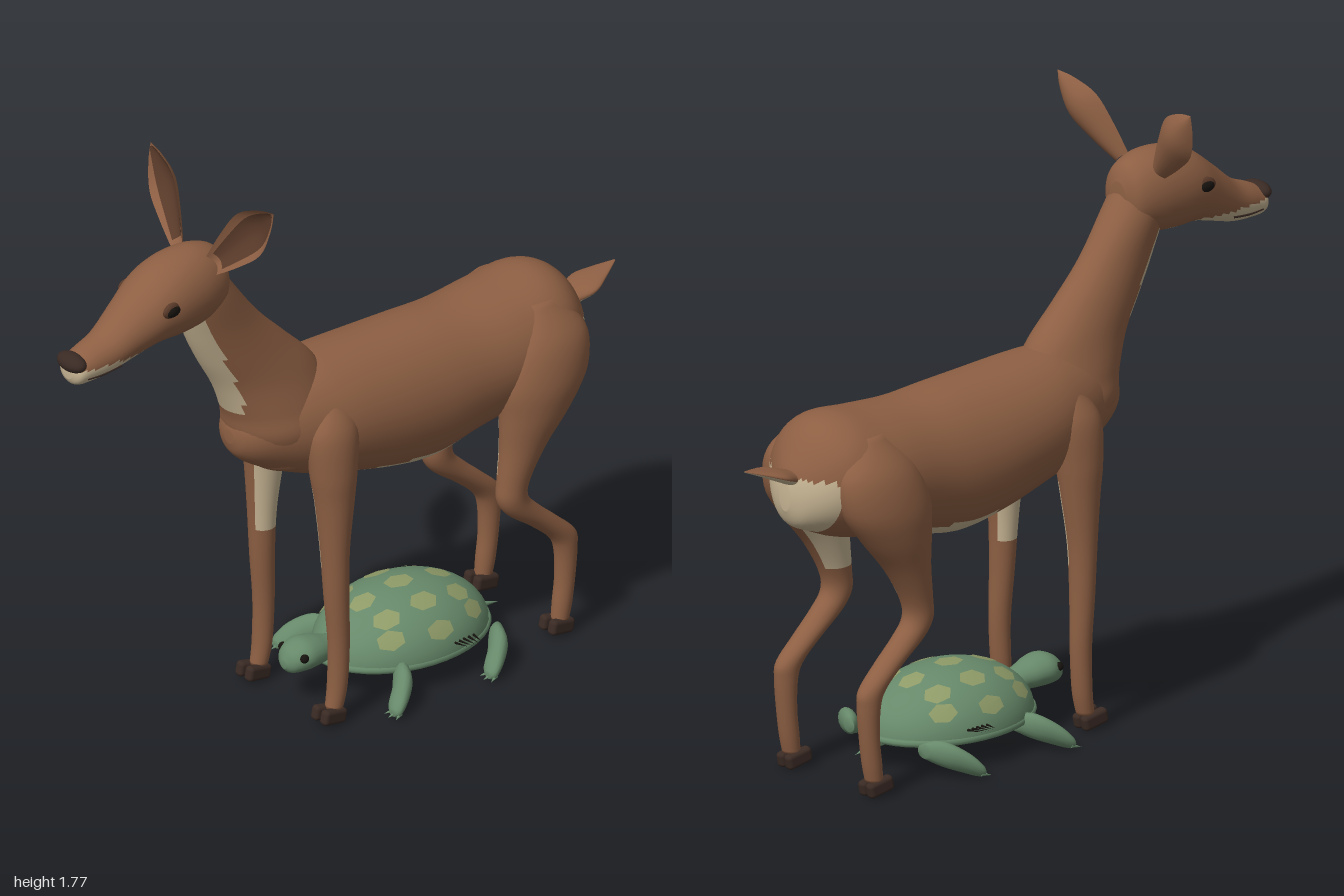
import * as THREE from 'three';
import { RoundedBoxGeometry } from 'three/addons/geometries/RoundedBoxGeometry.js';

const mat = (name, color, side = THREE.FrontSide) => {
  const m = new THREE.MeshStandardMaterial({ color, side });
  m.name = name;
  return m;
};

// Smooth closed skin through elliptical rings [t, centreA, centreB, radiusA, radiusB].
// axis 'z': rings run back to front; axis 'y': rings run top to bottom.
// pick(point, cos, sin) returns the index of the material for a face.
function loft(axis, rings, pick = () => 0, seg = 32, steps = 5) {
  const rows = [], n = rings.length;
  for (let i = 0; i < n - 1; i++) {
    const [a, b, c, d] = [-1, 0, 1, 2].map(k => rings[Math.min(n - 1, Math.max(0, i + k))]);
    for (let s = 0; s < steps; s++) {
      const t = s / steps;
      rows.push(b.map((_, k) => 0.5 * (2 * b[k] + (c[k] - a[k]) * t +
        (2 * a[k] - 5 * b[k] + 4 * c[k] - d[k]) * t * t + (3 * b[k] - a[k] - 3 * c[k] + d[k]) * t ** 3)));
    }
  }
  rows.push(rings[n - 1]);
  const place = (t, u, v) => axis === 'z' ? [u, v, t] : [u, t, v];
  const pts = [], buckets = [[], []];
  for (const [t, cu, cv, ru, rv] of rows) {
    for (let j = 0; j < seg; j++) {
      const th = j / seg * Math.PI * 2;
      pts.push(place(t, cu + ru * Math.cos(th), cv + rv * Math.sin(th)));
    }
  }
  const first = pts.length, last = rows.length - 1;
  for (const r of [rows[0], rows[last]]) pts.push(place(r[0], r[1], r[2]));
  const add = (j, ...f) => {
    const p = [0, 1, 2].map(k => f.reduce((sum, i) => sum + pts[i][k], 0) / f.length);
    const th = (j + 0.5) / seg * Math.PI * 2;
    const out = buckets[pick(p, Math.cos(th), Math.sin(th)) ? 1 : 0];
    out.push(f[0], f[1], f[2]);
    if (f.length === 4) out.push(f[0], f[2], f[3]);
  };
  for (let j = 0; j < seg; j++) {
    const k = (j + 1) % seg;
    add(j, first, k, j);
    add(j, first + 1, last * seg + j, last * seg + k);
    for (let i = 0; i < last; i++) add(j, i * seg + j, i * seg + k, (i + 1) * seg + k, (i + 1) * seg + j);
  }
  const g = new THREE.BufferGeometry();
  g.setAttribute('position', new THREE.Float32BufferAttribute(pts.flat(), 3));
  g.setIndex([...buckets[0], ...buckets[1]]);
  g.addGroup(0, buckets[0].length, 0);
  g.addGroup(buckets[0].length, buckets[1].length, 1);
  g.computeVertexNormals();
  return g;
}

// Leaf-shaped cupped ear surface, narrowed by scale and moved forward by lift
function earGeometry(side, scale, lift) {
  const g = new THREE.PlaneGeometry(2, 1, 10, 16), p = g.attributes.position;
  const width = new THREE.SplineCurve([[0, 0.03], [0.3, 0.055], [0.6, 0.068], [0.85, 0.036], [1, 0]]
    .map(a => new THREE.Vector2(...a)));
  for (let i = 0; i < p.count; i++) {
    const u = p.getX(i) * scale, t = 0.5 + (p.getY(i)) * (scale < 1 ? 0.84 : 1);
    const w = width.getPoint(t), cup = 0.6 * w.y * (1 - u * u);
    p.setXYZ(i, side * (0.075 + 0.195 * w.x + 0.756 * u * w.y),
      1.545 + 0.225 * w.x - 0.655 * u * w.y, 0.525 - 0.065 * w.x - cup + lift);
  }
  if (side < 0) g.setIndex([...g.index.array].reverse());
  g.computeVertexNormals();
  return g;
}

export function createModel() {
  const brown = mat('brownCoat', 0x8d5f43), cream = mat('creamFur', 0xc6b493);
  const dark = mat('darkHoof', 0x3a2a24), black = mat('black', 0x17130f);
  const coatThin = mat('earCoat', 0x8d5f43, THREE.DoubleSide);
  const inner = mat('earInner', 0x593a29, THREE.DoubleSide);
  const green = mat('turtleGreen', 0x67896a), scuteMat = mat('scuteOlive', 0x8f9b68);
  const coat = [brown, cream];

  const root = new THREE.Group();
  const deer = new THREE.Group(), turtle = new THREE.Group();
  deer.name = 'deer';
  turtle.name = 'turtle';
  root.add(deer, turtle);
  const put = (parent, name, geo, m, pos = [0, 0, 0], scale = [1, 1, 1], rot = [0, 0, 0]) => {
    const mesh = new THREE.Mesh(geo, m);
    mesh.name = name;
    mesh.position.set(...pos);
    mesh.scale.set(...scale);
    mesh.rotation.set(...rot);
    parent.add(mesh);
    return mesh;
  };
  const ball = new THREE.SphereGeometry(1, 24, 16);

  // Torso with pale belly and rump
  put(deer, 'torso', loft('z', [
    [-0.845, 0, 0.89, 0.02, 0.04], [-0.82, 0, 0.895, 0.08, 0.095], [-0.76, 0, 0.92, 0.15, 0.15],
    [-0.68, 0, 0.92, 0.19, 0.182], [-0.55, 0, 0.9, 0.2, 0.19], [-0.4, 0, 0.88, 0.195, 0.2],
    [-0.25, 0, 0.868, 0.2, 0.218], [-0.1, 0, 0.88, 0.2, 0.21], [0.05, 0, 0.902, 0.19, 0.193],
    [0.15, 0, 0.915, 0.17, 0.18], [0.25, 0, 0.925, 0.14, 0.15], [0.34, 0, 0.925, 0.1, 0.1],
    [0.385, 0, 0.925, 0.06, 0.06], [0.4, 0, 0.925, 0.02, 0.02]],
  p => (p[1] < 0.715 && p[2] > -0.5 && p[2] < 0.1) || (p[2] < -0.765 && p[1] < 0.945 && p[1] > 0.78),
  48, 6), coat);

  // Neck with pale throat
  put(deer, 'neck', loft('y', [
    [1.5, 0, 0.52, 0.07, 0.07], [1.42, 0, 0.495, 0.08, 0.1], [1.3, 0, 0.428, 0.078, 0.125],
    [1.2, 0, 0.355, 0.085, 0.15], [1.1, 0, 0.278, 0.1, 0.17], [1, 0, 0.235, 0.125, 0.172],
    [0.92, 0, 0.22, 0.14, 0.165], [0.8, 0, 0.2, 0.1, 0.1]],
  (p, c, s) => s > 0 && Math.abs(p[0]) < 0.062 && p[1] > 1.01, 48, 6), coat);

  // Head with pale jaw
  put(deer, 'head', loft('z', [
    [0.435, 0, 1.47, 0.03, 0.04], [0.46, 0, 1.465, 0.075, 0.095], [0.53, 0, 1.465, 0.1, 0.12],
    [0.62, 0, 1.458, 0.108, 0.122], [0.7, 0, 1.443, 0.1, 0.107], [0.78, 0, 1.403, 0.08, 0.087],
    [0.86, 0, 1.36, 0.064, 0.065], [0.93, 0, 1.343, 0.056, 0.052], [0.97, 0, 1.335, 0.048, 0.04],
    [0.985, 0, 1.335, 0.02, 0.02]],
  p => p[1] < 1.348 && p[2] > 0.55, 40, 6), coat);
  put(deer, 'nose', ball, dark, [0, 1.362, 0.968], [0.054, 0.027, 0.032]);

  // Tail, brown above and pale beneath
  put(deer, 'tail', loft('z', [
    [-0.997, 0, 1, 0.003, 0.002], [-0.94, 0, 0.983, 0.035, 0.01], [-0.885, 0, 0.965, 0.058, 0.018],
    [-0.83, 0, 0.945, 0.04, 0.022], [-0.78, 0, 0.935, 0.03, 0.02]],
  (p, c, s) => s < -0.1), coat);

  for (const s of [1, -1]) {
    const side = s > 0 ? 'left' : 'right';
    const mirror = rings => rings.map(([t, x, ...r]) => [t, x * s, ...r]);

    // Ears, eyes and mouth line
    put(deer, side + 'Ear', earGeometry(s, 1, 0), coatThin);
    put(deer, side + 'EarInner', earGeometry(s, 0.7, 0.006), inner);
    put(deer, side + 'Eyelid', ball, inner, [s * 0.094, 1.467, 0.68], [0.013, 0.024, 0.038], [0, s * 0.15, 0]);
    put(deer, side + 'Eye', ball, black, [s * 0.1, 1.465, 0.682], [0.012, 0.017, 0.027], [0, s * 0.15, 0]);
    const lip = new THREE.CatmullRomCurve3([[0.047, 1.32, 0.95], [0.05, 1.318, 0.9], [0.052, 1.325, 0.83]]
      .map(([x, y, z]) => new THREE.Vector3(x * s, y, z)));
    put(deer, side + 'MouthLine', new THREE.TubeGeometry(lip, 12, 0.004, 6), dark);

    // Legs with pale inner faces
    put(deer, side + 'FrontLeg', loft('y', mirror([
      [1, 0.12, 0.13, 0.03, 0.04], [0.92, 0.14, 0.14, 0.06, 0.08], [0.8, 0.15, 0.145, 0.064, 0.072],
      [0.7, 0.155, 0.145, 0.056, 0.058], [0.55, 0.16, 0.148, 0.044, 0.042], [0.4, 0.163, 0.145, 0.037, 0.036],
      [0.25, 0.165, 0.138, 0.031, 0.032], [0.12, 0.165, 0.143, 0.03, 0.029], [0.05, 0.165, 0.155, 0.026, 0.026]]),
    (p, c) => c * s < -0.45 && p[1] > 0.5 && p[1] < 0.75), coat);
    put(deer, side + 'HindLeg', loft('y', mirror([
      [1.05, 0.11, -0.63, 0.03, 0.05], [0.96, 0.14, -0.63, 0.08, 0.13], [0.85, 0.155, -0.605, 0.095, 0.15],
      [0.75, 0.165, -0.572, 0.08, 0.115], [0.65, 0.165, -0.53, 0.06, 0.074], [0.55, 0.165, -0.495, 0.045, 0.05],
      [0.49, 0.165, -0.49, 0.042, 0.048], [0.44, 0.165, -0.527, 0.04, 0.054], [0.38, 0.165, -0.6, 0.037, 0.048],
      [0.32, 0.167, -0.665, 0.034, 0.045], [0.27, 0.168, -0.68, 0.032, 0.036], [0.18, 0.168, -0.678, 0.03, 0.03],
      [0.1, 0.168, -0.668, 0.029, 0.029], [0.05, 0.168, -0.66, 0.026, 0.026]]),
    (p, c) => c * s < -0.3 && p[1] > 0.57 && p[1] < 0.78), coat);

    // Cloven hooves
    for (const [leg, z] of [['Front', 0.172], ['Hind', -0.652]]) {
      for (const k of [-1, 1]) {
        put(deer, side + leg + 'Hoof', new RoundedBoxGeometry(0.031, 0.045, 0.085, 3, 0.012), dark,
          [s * 0.166 + k * 0.018, 0.033, z], [1, 1, 1], [-0.2, k * 0.08, 0]);
      }
    }

    // Turtle legs with claws
    for (const [leg, dz] of [['Front', 0], ['Hind', -0.345]]) {
      put(turtle, side + leg + 'Flipper', loft('z', mirror([
        [-0.11, 0.15, 0.08, 0.02, 0.02], [-0.075, 0.19, 0.075, 0.042, 0.038], [-0.03, 0.232, 0.052, 0.036, 0.034],
        [0.005, 0.252, 0.028, 0.03, 0.023], [0.02, 0.258, 0.02, 0.012, 0.01]])
        .map(r => [r[0] + dz, ...r.slice(1)]), undefined, 16, 4), green);
      for (const k of [-1, 0, 1]) {
        put(turtle, side + leg + 'Claw', new THREE.ConeGeometry(0.007, 0.03, 8), green,
          [s * (0.257 + k * 0.02), 0.014, 0.022 - Math.abs(k) * 0.007 + dz], [1, 1, 1],
          [Math.PI / 2 + 0.25, 0, -s * k * 0.4]);
      }
    }
    put(turtle, side + 'TurtleEye', ball, black, [s * 0.048, 0.155, 0.165], [0.012, 0.013, 0.013]);

    // Dark bristles on the shell side and small strokes beneath
    for (let i = 0; i < 5; i++) {
      put(turtle, side + 'Bristle', new THREE.ConeGeometry(0.004, 0.05, 5), black,
        [s * 0.22, 0.125, -0.32 + i * 0.015], [1, 1, 1], [0, s * (i - 2) * 0.1, -s * 1.5]);
    }
    put(turtle, side + 'BellyStroke', new THREE.CylinderGeometry(0.004, 0.004, 0.045, 6), black, [s * 0.02, 0.028, -0.215]);
    put(turtle, side + 'BellyStrokeFoot', new THREE.BoxGeometry(0.02, 0.005, 0.03), black, [s * 0.02, 0.006, -0.21]);
  }

  // Turtle shell: dome, rim and pale underside
  const size = new THREE.Vector3(0.207, 0.163, 0.275), centre = [0, 0.088, -0.22];
  put(turtle, 'shell', new THREE.SphereGeometry(1, 40, 14, 0, Math.PI * 2, 0, Math.PI / 2), green, centre, size.toArray());
  put(turtle, 'shellRim', new THREE.TorusGeometry(1, 0.03, 8, 40), green, [0, 0.09, -0.22],
    [0.203, 0.275, 0.35], [Math.PI / 2, 0, 0]);
  put(turtle, 'plastron', new THREE.SphereGeometry(1, 40, 8, 0, Math.PI * 2, Math.PI / 2, Math.PI / 2), cream,
    [0, 0.084, -0.22], [0.195, 0.036, 0.26]);

  // Hexagonal scutes wrapped on the dome
  const scute = (azimuth, tilt) => {
    const dir = new THREE.Vector3().setFromSphericalCoords(1, tilt, azimuth);
    const q = new THREE.Quaternion().setFromUnitVectors(new THREE.Vector3(0, 0, 1), dir);
    const g = new THREE.CircleGeometry(0.17, 6), p = g.attributes.position, v = new THREE.Vector3();
    for (let i = 0; i < p.count; i++) {
      v.set(p.getX(i), p.getY(i), 1).applyQuaternion(q).normalize().multiply(size).multiplyScalar(1.012);
      p.setXYZ(i, v.x, v.y, v.z);
    }
    g.computeVertexNormals();
    put(turtle, 'scute', g, scuteMat, centre);
  };
  scute(0, 0.02);
  for (let i = 0; i < 8; i++) scute(i / 8 * Math.PI * 2, i % 2 ? 0.72 : 0.52);
  for (const a of [0.9, 1.57, 2.24]) for (const s of [1, -1]) scute(a * s, 1.05);

  // Turtle head, neck and tail
  put(turtle, 'turtleHead', loft('z', [
    [-0.02, 0, 0.12, 0.04, 0.035], [0.05, 0, 0.135, 0.042, 0.036], [0.1, 0, 0.143, 0.055, 0.044],
    [0.145, 0, 0.145, 0.06, 0.047], [0.185, 0, 0.137, 0.042, 0.036], [0.203, 0, 0.13, 0.012, 0.012]],
  undefined, 24), green);
  put(turtle, 'turtleTail', new THREE.ConeGeometry(0.03, 0.13, 12), green, [0, 0.073, -0.51],
    [1, 1, 0.6], [-Math.PI / 2 - 0.2, 0, 0]);
  return root;
}
